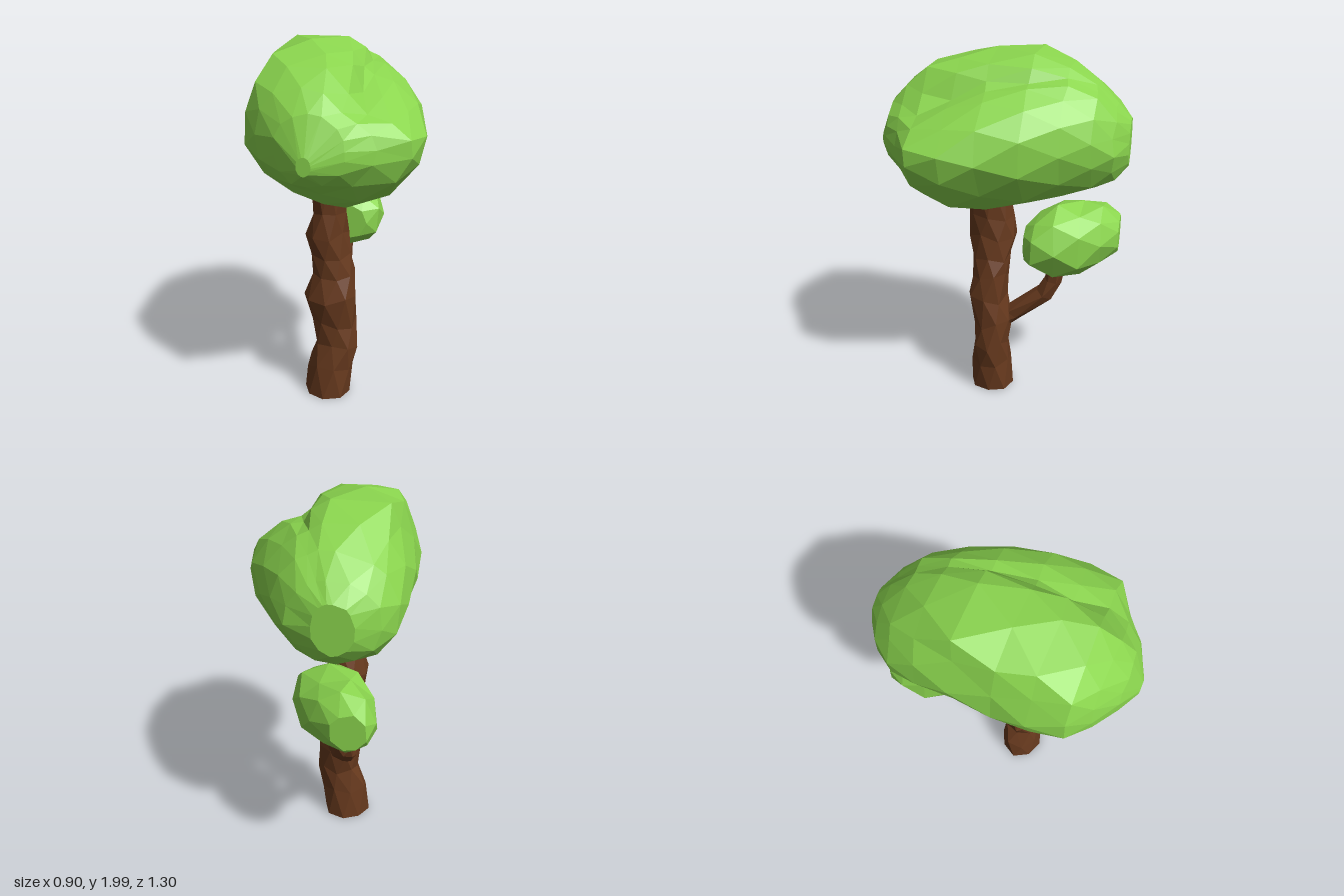
import * as THREE from 'three';

const green = new THREE.MeshStandardMaterial({ color: 0x8bd64e, flatShading: true });
const brown = new THREE.MeshStandardMaterial({ color: 0x683a1e, flatShading: true });

// Small seeded noise in -1..1
function noise(seed) {
  let s = seed;
  return () => {
    s = (s * 16807) % 2147483647;
    return (s / 2147483647) * 2 - 1;
  };
}

// Cross-section outlines: a function of t giving a point within -1..1
const round = (t) => new THREE.Vector3(Math.cos(t * Math.PI * 2), Math.sin(t * Math.PI * 2), 0);
const mix = (a, b, k) => (t) => a(t).lerp(b(t), k);
function outline(points) {
  const curve = new THREE.CatmullRomCurve3(points.map(([x, y]) => new THREE.Vector3(x, y, 0)), true);
  return (t) => curve.getPoint(t % 1);
}

// Closed faceted loft. Each ring: centre c, facing w, radii rx (along x) and rv, and outline shape.
// Every ring is turned half a step so the facets come out as staggered triangles.
function loft(name, material, rings, sides, rough, seed) {
  const rand = noise(seed);
  const position = [];
  const index = [];
  const add = (p) => position.push(p.x, p.y, p.z);
  const u = new THREE.Vector3(1, 0, 0);
  const last = rings.length - 1;
  rings.forEach(({ c, w, rx, rv, shape = round }, i) => {
    const v = new THREE.Vector3().crossVectors(w, u);
    for (let j = 0; j < sides; j++) {
      const p = shape((j + i * 0.5) / sides).multiplyScalar(1.02 + rand() * rough);
      const shift = i > 0 && i < last ? rand() * rough * 0.4 : 0;
      add(c.clone().addScaledVector(u, p.x * rx).addScaledVector(v, p.y * rv).addScaledVector(w, shift));
    }
  });
  for (let i = 0; i < last; i++) {
    for (let j = 0; j < sides; j++) {
      const a = i * sides + j, b = i * sides + ((j + 1) % sides);
      index.push(a, b, a + sides, b, b + sides, a + sides);
    }
  }
  // End caps
  const start = rings.length * sides;
  add(rings[0].c);
  add(rings[last].c);
  for (let j = 0; j < sides; j++) {
    const n = (j + 1) % sides;
    index.push(start, n, j, start + 1, last * sides + j, last * sides + n);
  }
  const geometry = new THREE.BufferGeometry();
  geometry.setAttribute('position', new THREE.Float32BufferAttribute(position, 3));
  geometry.setIndex(index);
  const flat = geometry.toNonIndexed();
  flat.computeVertexNormals();
  const mesh = new THREE.Mesh(flat, material);
  mesh.name = name;
  return mesh;
}

// Slices across z, given as [z, xMin, xMax, yMin, yMax, shape]
const zSlices = (rows) => rows.map(([z, x0, x1, y0, y1, shape]) => ({
  c: new THREE.Vector3((x0 + x1) / 2, (y0 + y1) / 2, z),
  w: new THREE.Vector3(0, 0, 1),
  rx: (x1 - x0) / 2,
  rv: (y1 - y0) / 2,
  shape,
}));

// Slices across y, given as [y, xMin, xMax, zMin, zMax]
const ySlices = (rows) => rows.map(([y, x0, x1, z0, z1]) => ({
  c: new THREE.Vector3((x0 + x1) / 2, y, (z0 + z1) / 2),
  w: new THREE.Vector3(0, 1, 0),
  rx: (x1 - x0) / 2,
  rv: (z1 - z0) / 2,
}));

export function createModel() {
  const tree = new THREE.Group();
  tree.name = 'tree';

  // Knobbly trunk
  tree.add(loft('trunk', brown, ySlices([
    [0, -0.22, 0.04, -0.05, 0.2],
    [0.18, -0.21, 0.05, -0.04, 0.19],
    [0.32, -0.16, 0.07, -0.03, 0.17],
    [0.45, -0.17, 0.06, -0.04, 0.17],
    [0.6, -0.21, 0.07, -0.02, 0.2],
    [0.74, -0.17, 0.06, -0.03, 0.18],
    [0.86, -0.18, 0.03, -0.04, 0.18],
    [0.98, -0.2, 0.02, -0.06, 0.2],
    [1.1, -0.17, 0.01, -0.05, 0.2],
    [1.3, -0.16, 0.02, -0.02, 0.21],
  ]), 8, 0.07, 11));

  // Bent side branch rising towards the back
  const path = [[0.42, 0.04, 0.065], [0.49, -0.05, 0.06], [0.64, -0.235, 0.058], [0.72, -0.275, 0.052], [0.86, -0.31, 0.05]];
  tree.add(loft('branch', brown, path.map(([y, z, r], i) => {
    const a = path[Math.max(i - 1, 0)], b = path[Math.min(i + 1, path.length - 1)];
    return {
      c: new THREE.Vector3(-0.09, y, z),
      w: new THREE.Vector3(0, b[0] - a[0], b[1] - a[1]).normalize(),
      rx: r,
      rv: r * 0.9,
    };
  }), 6, 0.05, 23));

  // Crown: one mass, round at the back, with a lower left lobe that drops towards the front
  const underside = [[-0.62, -0.73], [-0.22, -0.9], [0.11, -1], [0.6, -0.76], [0.93, -0.34]];
  const middle = outline([
    [0.98, 0.12], [0.73, 0.44], [0.46, 0.63], [0.3, 0.64], [0.22, 0.83],
    [0, 0.98], [-0.71, 1], [-0.84, 0.71], [-1, 0.15], [-0.89, -0.34], ...underside,
  ]);
  const front = outline([
    [1, -0.08], [0.85, 0.17], [0.6, 0.34], [0.33, 0.42], [0.16, 0.88],
    [-0.2, 1], [-0.68, 0.87], [-0.9, 0.55], [-1, 0.08], [-0.9, -0.37], ...underside,
  ]);
  const back = (t) => middle(t).normalize();
  const tip = (t) => front(t).normalize();
  tree.add(loft('crown', green, zSlices([
    [-0.65, -0.22, -0.02, 1.42, 1.67, back],
    [-0.58, -0.33, 0.11, 1.35, 1.75, back],
    [-0.48, -0.4, 0.19, 1.3, 1.85, back],
    [-0.34, -0.42, 0.28, 1.26, 1.93, mix(back, middle, 0.4)],
    [-0.16, -0.43, 0.37, 1.22, 1.98, mix(back, middle, 0.8)],
    [0.05, -0.44, 0.42, 1.18, 1.97, middle],
    [0.22, -0.44, 0.44, 1.18, 1.95, mix(middle, front, 0.5)],
    [0.39, -0.41, 0.42, 1.24, 1.91, front],
    [0.49, -0.32, 0.26, 1.33, 1.83, mix(front, tip, 0.4)],
    [0.58, -0.2, 0.14, 1.39, 1.73, tip],
    [0.65, -0.07, 0, 1.46, 1.55, tip],
  ]), 15, 0.025, 37));

  // Small boxy foliage clump on the branch, slanting to the right at the back
  const clump = outline([
    [1, 0.38], [0.5, 0.8], [-0.3, 1], [-0.9, 0.48],
    [-1, -0.4], [-0.4, -0.9], [0.25, -1], [0.95, -0.52],
  ]);
  tree.add(loft('smallFoliage', green, zSlices([
    [-0.62, -0.28, -0.1, 0.9, 1.1, clump],
    [-0.54, -0.31, 0, 0.84, 1.17, clump],
    [-0.42, -0.31, 0.08, 0.79, 1.18, clump],
    [-0.3, -0.26, 0.13, 0.77, 1.2, clump],
    [-0.19, -0.2, 0.13, 0.83, 1.13, clump],
    [-0.13, -0.12, 0.07, 0.87, 1.07, clump],
  ]), 8, 0.03, 77));

  return tree;
}
